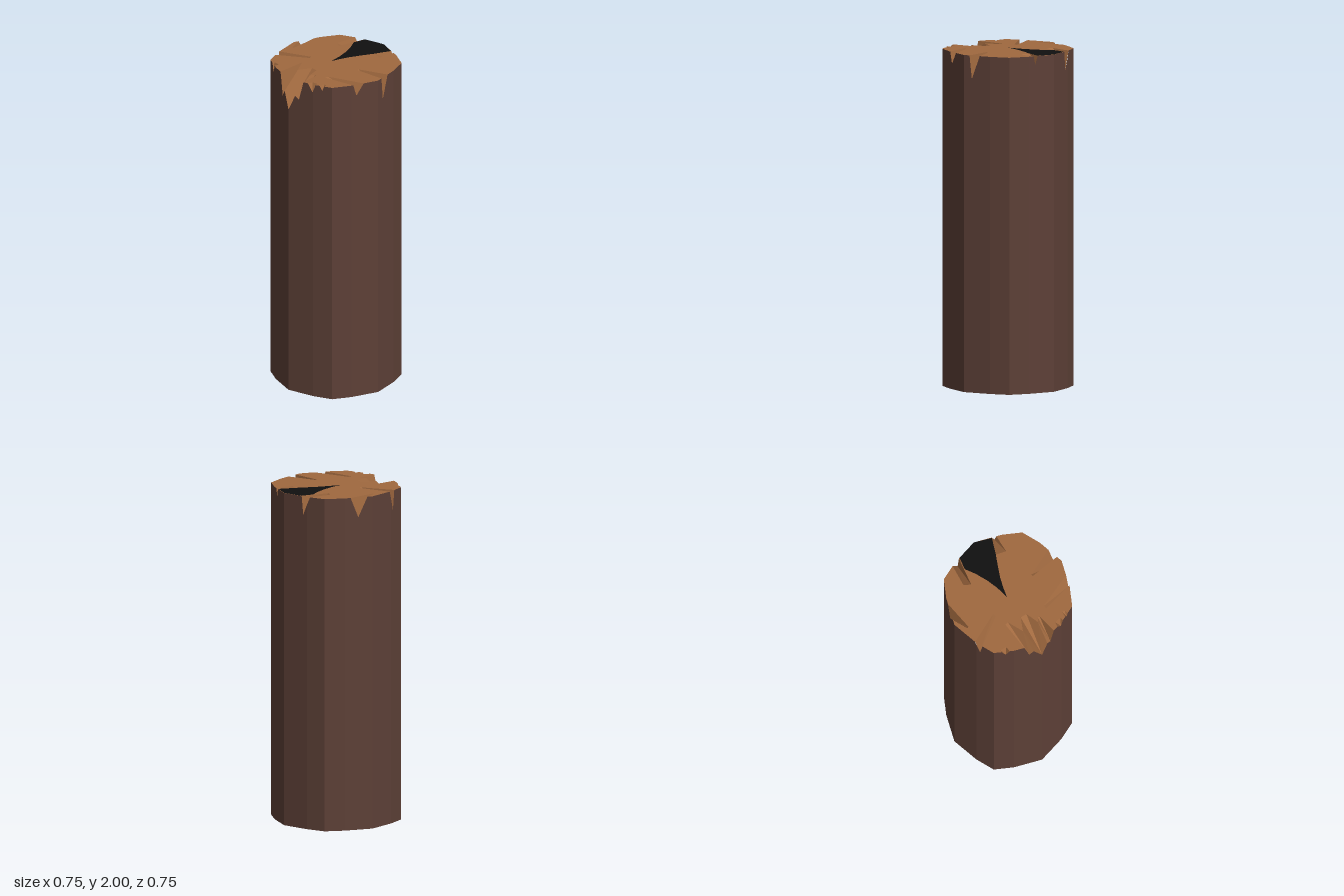
import * as THREE from 'three';

const HEIGHT = 2;

// One quadrant of the sixteen-sided trunk outline (x, z), repeated by quarter turns
const quadrant = [[0.373, 0], [0.325, 0.165], [0.273, 0.273], [0.165, 0.325]];
const corners = [];
for (let q = 0; q < 4; q++) {
  for (let [x, z] of quadrant) {
    for (let i = 0; i < q; i++) [x, z] = [-z, x];
    corners.push([x, z]);
  }
}

const angleOf = ([x, z]) => (Math.atan2(z, x) + Math.PI * 2) % (Math.PI * 2);

// Slide a point radially onto the trunk outline
function toRim([x, z]) {
  const t = angleOf([x, z]);
  let i = corners.length - 1;
  while (i > 0 && angleOf(corners[i]) > t) i--;
  const [ax, az] = corners[i];
  const [bx, bz] = corners[(i + 1) % corners.length];
  const ex = bx - ax, ez = bz - az;
  const s = (ax * ez - az * ex) / (x * ez - z * ex);
  return [x * s, z * s];
}

// Splinter notches in order round the rim:
// a, d, b = start, deepest and end point on the rim (x, z, y); inner = edge on the cut face
const notches = [
  { a: [0.34, 0.105], d: [0.337, 0.12, 1.95], b: [0.335, 0.132], inner: [[0.24, 0.065], [0.225, 0.13]] },
  { a: [0.10, 0.345], d: [0.05, 0.36, 1.86], b: [0.035, 0.362], inner: [[0.022, 0.175], [0.01, 0.18]] },
  { a: [-0.09, 0.345], d: [-0.135, 0.333, 1.93], b: [-0.155, 0.327], inner: [[-0.182, 0.135], [-0.205, 0.135]] },
  { a: [-0.295, 0.23], d: [-0.305, 0.22, 1.97], b: [-0.31, 0.205], inner: [[-0.275, 0.22], [-0.27, 0.205]] },
  { a: [-0.32, 0.18], d: [-0.325, 0.16, 1.95], b: [-0.335, 0.13], inner: [[-0.297, 0.175], [-0.305, 0.135]] },
  { a: [-0.345, 0.10], d: [-0.353, 0.07, 1.88], b: [-0.36, 0.045, 1.9],
    inner: [[-0.225, 0.077], [-0.222, 0.065], [-0.25, 0.05]] },
  { a: [-0.36, 0.045, 1.9], d: [-0.373, 0, 1.8], b: [-0.359, -0.05, 1.9],
    inner: [[-0.25, 0.05], [-0.17, 0.02], [-0.17, -0.02], [-0.25, -0.055]] },
  { a: [-0.359, -0.05, 1.9], d: [-0.35, -0.075, 1.86], b: [-0.345, -0.105],
    inner: [[-0.25, -0.055], [-0.155, -0.10], [-0.16, -0.12]] },
  { a: [-0.315, -0.19], d: [-0.305, -0.21, 1.95], b: [-0.295, -0.235], inner: [[-0.28, -0.19], [-0.28, -0.23]] },
  { a: [-0.205, -0.31], d: [-0.19, -0.317, 1.88], b: [-0.155, -0.328], inner: [[-0.085, -0.14], [-0.065, -0.145]] },
  { a: [0.03, -0.365], d: [0.085, -0.35, 1.88], b: [0.13, -0.335], inner: [[-0.06, -0.32], [-0.055, -0.31]] },
  { a: [0.325, -0.19], d: [0.335, -0.14, 1.89], b: [0.337, -0.128], inner: [[0.18, -0.195], [0.16, -0.155]] },
];

function triangles(list) {
  const geo = new THREE.BufferGeometry();
  geo.setAttribute('position', new THREE.Float32BufferAttribute(list.flat(), 3));
  geo.computeVertexNormals();
  return geo;
}

// Flat horizontal face from an (x, z) outline
function flatFace(points, y, up) {
  const shape = new THREE.Shape(points.map(([x, z]) => new THREE.Vector2(x, up ? -z : z)));
  return new THREE.ShapeGeometry(shape).rotateX(up ? -Math.PI / 2 : Math.PI / 2).translate(0, y, 0);
}

export function createModel() {
  const group = new THREE.Group();
  const bark = new THREE.MeshStandardMaterial({ color: 0x5d4037 });
  bark.name = 'bark';
  const wood = new THREE.MeshStandardMaterial({ color: 0xa0693f, side: THREE.DoubleSide });
  wood.name = 'cutWood';
  const dark = new THREE.MeshStandardMaterial({ color: 0x101010 });
  dark.name = 'darkCrack';
  const add = (name, geo, mat) => {
    const mesh = new THREE.Mesh(geo, mat);
    mesh.name = name;
    group.add(mesh);
  };

  const cuts = notches.map(({ a, d, b, inner }) => {
    const [ra, rd, rb] = [a, d, b].map((p) => {
      const [x, z] = toRim(p);
      return [x, p[2] ?? HEIGHT, z];
    });
    return { ra, rd, rb, inner: inner.map(([x, z]) => [x, HEIGHT, z]) };
  });
  const angle3 = (p) => angleOf([p[0], p[2]]);

  // Rim: corners outside the notches, plus every notch point
  const inNotch = (t) => cuts.some((c) => t > angle3(c.ra) && t < angle3(c.rb));
  const freeCorners = corners.filter((c) => !inNotch(angleOf(c))).map(([x, z]) => [x, HEIGHT, z]);
  const notchPoints = cuts.flatMap((c) => [c.ra, c.rd, c.rb]);

  // Corners that fall inside a notch take the height of the notch edge there
  const buriedCorners = corners.filter((c) => inNotch(angleOf(c))).map(([x, z]) => {
    const t = angleOf([x, z]);
    const c = cuts.find((n) => t > angle3(n.ra) && t < angle3(n.rb));
    const [p, q] = t < angle3(c.rd) ? [c.ra, c.rd] : [c.rd, c.rb];
    const k = (t - angle3(p)) / (angle3(q) - angle3(p) || 1);
    return [x, p[1] + (q[1] - p[1]) * k, z];
  });
  const rim = [...freeCorners, ...buriedCorners, ...notchPoints]
    .sort((p, q) => angle3(p) - angle3(q))
    .filter((p, i, all) => i === 0 || angle3(p) - angle3(all[i - 1]) > 1e-5);

  // Bark wall following the splintered rim
  const wall = [];
  rim.forEach((t0, i) => {
    const t1 = rim[(i + 1) % rim.length];
    const b0 = [t0[0], 0, t0[2]], b1 = [t1[0], 0, t1[2]];
    wall.push(...b1, ...b0, ...t0, ...b1, ...t0, ...t1);
  });
  add('barkWall', triangles(wall), bark);

  // Sloping faces inside each notch, fanned from its deepest point
  const notchFaces = [];
  for (const { ra, rd, rb, inner } of cuts) {
    const chain = [ra, ...inner, rb];
    for (let i = 0; i < chain.length - 1; i++) notchFaces.push(...rd, ...chain[i], ...chain[i + 1]);
  }
  add('splinterNotches', triangles(notchFaces), wood);

  // Top cut face with the notches left out
  const pieces = [
    ...freeCorners.map((p) => ({ t: angle3(p), pts: [p] })),
    ...cuts.map((c) => ({ t: angle3(c.ra), pts: [c.ra, ...c.inner, c.rb].filter((p) => p[1] === HEIGHT) })),
  ].sort((p, q) => p.t - q.t);
  const topOutline = pieces.flatMap((p) => p.pts).map(([x, , z]) => [x, z])
    .filter((p, i, all) => i === 0 || Math.hypot(p[0] - all[i - 1][0], p[1] - all[i - 1][1]) > 1e-5);
  add('topCut', flatFace(topOutline, HEIGHT, true), wood);
  add('bottomCut', flatFace(corners, 0, false), wood);

  // Dark cracks painted on both ends
  add('topCrack', flatFace([
    [-0.02, -0.02], [0.06, -0.037], [0.13, -0.062], [0.2, -0.096], [0.26, -0.135], [0.337, -0.123],
    [0.373, 0], [0.34, 0.104], [0.24, 0.068], [0.17, 0.038], [0.1, 0.01], [0.03, -0.009],
  ], HEIGHT + 0.001, true), dark);
  add('bottomCrack', flatFace([
    [-0.04, -0.025], [-0.16, -0.09], [-0.315, -0.187], [-0.325, -0.165], [-0.373, 0],
    [-0.342, 0.108], [-0.27, 0.06], [-0.16, 0.008],
  ], -0.001, false), dark);
  add('smallBottomCrack', flatFace([[0.245, -0.008], [0.364, -0.03], [0.373, 0], [0.358, 0.05]], -0.001, false), dark);

  return group;
}
